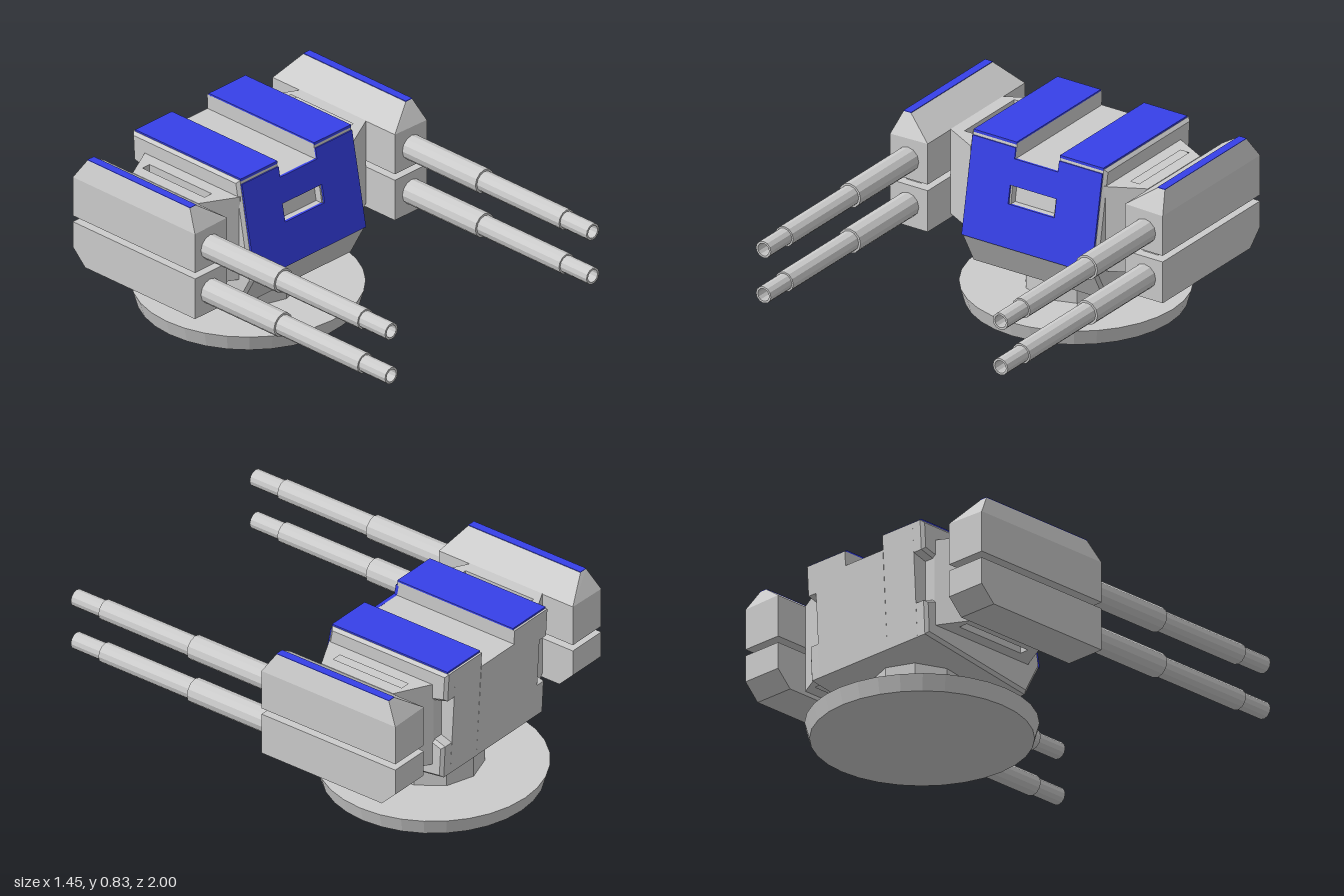
import * as THREE from 'three';
import { ConvexGeometry } from 'three/addons/geometries/ConvexGeometry.js';

const grey = new THREE.MeshStandardMaterial({ color: 0xcccccc, flatShading: true });
const greyOpen = new THREE.MeshStandardMaterial({ color: 0xcccccc, flatShading: true, side: THREE.DoubleSide });
const blue = new THREE.MeshStandardMaterial({ color: 0x3640e8, flatShading: true });

const toShape = (pts) => new THREE.Shape(pts.map(([x, y]) => new THREE.Vector2(x, y)));

function add(parent, name, geometry, material = grey) {
  const mesh = new THREE.Mesh(geometry, material);
  mesh.name = name;
  parent.add(mesh);
  return mesh;
}

// Box given by its limits
function boxGeo(x0, x1, y0, y1, z0, z1) {
  return new THREE.BoxGeometry(Math.abs(x1 - x0), y1 - y0, z1 - z0)
    .translate((x0 + x1) / 2, (y0 + y1) / 2, (z0 + z1) / 2);
}

// Side profile of [z, y] points, extruded across x
function slab(pts, xa, xb, bevel = 0) {
  const x0 = Math.min(xa, xb), x1 = Math.max(xa, xb);
  return new THREE.ExtrudeGeometry(toShape(pts.map(([z, y]) => [-z, y])), {
    depth: x1 - x0 - 2 * bevel, bevelEnabled: bevel > 0, bevelSegments: 1,
    bevelSize: bevel, bevelThickness: bevel, bevelOffset: -bevel,
  }).rotateY(Math.PI / 2).translate(x0 + bevel, 0, 0);
}

// Plan outline of [x, z] points, extruded upwards
function plan(pts, y0, y1, hole) {
  const shape = toShape(pts.map(([x, z]) => [x, -z]));
  if (hole) shape.holes.push(toShape(hole.map(([x, z]) => [x, -z])));
  return new THREE.ExtrudeGeometry(shape, { depth: y1 - y0, bevelEnabled: false })
    .rotateX(-Math.PI / 2).translate(0, y0, 0);
}

function addBody(root) {
  const body = new THREE.Group();
  body.name = 'body';
  root.add(body);
  const chin = [[-0.115, 0.35], [-0.2, 0.193], [-0.82, 0.28]];
  const top = [[-0.85, 0.82], [-0.2, 0.82]];
  // Middle section: lowered roof channel and a pocket behind the front slot
  add(body, 'middleSection', slab([...chin, [-0.848, 0.75], [-0.19, 0.75],
    [-0.168, 0.63], [-0.2, 0.63], [-0.185, 0.545], [-0.152, 0.545]], -0.116, 0.116));
  for (const s of [1, -1]) {
    add(body, 'shoulderSection', slab([...chin, ...top], s * 0.115, s * 0.3));
    // Outer section with a notch in its rear edge
    add(body, 'outerSection', slab([...chin, [-0.828, 0.44], [-0.77, 0.46], [-0.77, 0.66],
      [-0.842, 0.68], ...top], s * 0.28, s * 0.36, 0.014));
    add(body, 'roofPlate', boxGeo(s * 0.115, s * 0.345, 0.815, 0.828, -0.84, -0.197), blue);
  }

  // Sloped front plate, notched at the top and slotted
  const k = 1.018;
  const tilt = (pts) => pts.map(([x, y]) => [x, (y - 0.35) * k]);
  const plate = toShape(tilt([[-0.345, 0.35], [0.345, 0.35], [0.345, 0.8], [0.115, 0.8],
    [0.115, 0.75], [-0.115, 0.75], [-0.115, 0.8], [-0.345, 0.8]]));
  plate.holes.push(toShape(tilt([[-0.123, 0.545], [0.123, 0.545], [0.123, 0.63], [-0.123, 0.63]])));
  const front = add(body, 'frontPlate',
    new THREE.ExtrudeGeometry(plate, { depth: 0.016, bevelEnabled: false }), blue);
  front.position.set(0, 0.35, -0.12);
  front.rotation.x = -Math.atan2(0.085, 0.45);
}

// Arm joining the body to a gun pod, with a slot recessed above and below
function addArm(root, s) {
  const arm = new THREE.Group();
  arm.name = s > 0 ? 'leftArm' : 'rightArm';
  root.add(arm);
  const flip = (pts) => pts.map(([x, z]) => [s * x, z]);
  const outline = flip([[0.3, -0.77], [0.355, -0.77], [0.525, -0.68], [0.525, -0.28],
    [0.355, -0.19], [0.3, -0.22]]);
  const slot = flip([[0.42, -0.68], [0.465, -0.68], [0.465, -0.3], [0.42, -0.3]]);
  add(arm, 'armCore', plan(outline, 0.37, 0.71));
  add(arm, 'armTop', plan(outline, 0.71, 0.745, slot));
  add(arm, 'armBottom', plan(outline, 0.335, 0.37, slot));
}

function addPod(root, s) {
  const pod = new THREE.Group();
  pod.name = s > 0 ? 'leftGunPod' : 'rightGunPod';
  root.add(pod);
  // Upper housing: block with a tapered roof
  const points = [];
  const level = (y, x0, x1, z0, z1, yIn = y) => {
    for (const z of [z0, z1]) {
      points.push(new THREE.Vector3(s * x0, yIn, z), new THREE.Vector3(s * x1, y, z));
    }
  };
  level(0.545, 0.525, 0.725, -0.85, -0.105);
  level(0.737, 0.525, 0.725, -0.85, -0.105, 0.742);
  level(0.832, 0.655, 0.695, -0.79, -0.165);
  add(pod, 'upperHousing', new ConvexGeometry(points));
  add(pod, 'ridgeStrip', boxGeo(s * 0.655, s * 0.695, 0.825, 0.835, -0.79, -0.165), blue);
  // Lower housing with a chamfered rear underside
  add(pod, 'lowerHousing', slab([[-0.105, 0.315], [-0.775, 0.315], [-0.85, 0.39],
    [-0.85, 0.515], [-0.105, 0.515]], s * 0.525, s * 0.725));
  add(pod, 'spacer', boxGeo(s * 0.59, s * 0.67, 0.51, 0.55, -0.76, -0.15));

  // Stepped hollow barrels
  const profile = [[0, -0.12], [0.058, -0.12], [0.058, 0.34], [0.048, 0.34], [0.048, 0.84],
    [0.04, 0.84], [0.04, 1], [0.03, 1], [0.03, 0.86], [0, 0.86]];
  for (const y of [0.64, 0.42]) {
    const barrel = new THREE.LatheGeometry(profile.map(([r, z]) => new THREE.Vector2(r, z)), 12)
      .rotateX(Math.PI / 2).translate(s * 0.63, y, 0);
    add(pod, 'barrel', barrel, greyOpen);
  }
}

export function createModel() {
  const root = new THREE.Group();
  root.name = 'gunTurret';
  // Base and pivot
  add(root, 'baseDisc', new THREE.CylinderGeometry(0.513, 0.492, 0.075, 32).translate(0, 0.0375, -0.487));
  add(root, 'pivotColumn', new THREE.CylinderGeometry(0.23, 0.23, 0.27, 10).translate(0, 0.2, -0.483));
  addBody(root);
  for (const s of [1, -1]) {
    addArm(root, s);
    addPod(root, s);
  }
  return root;
}
